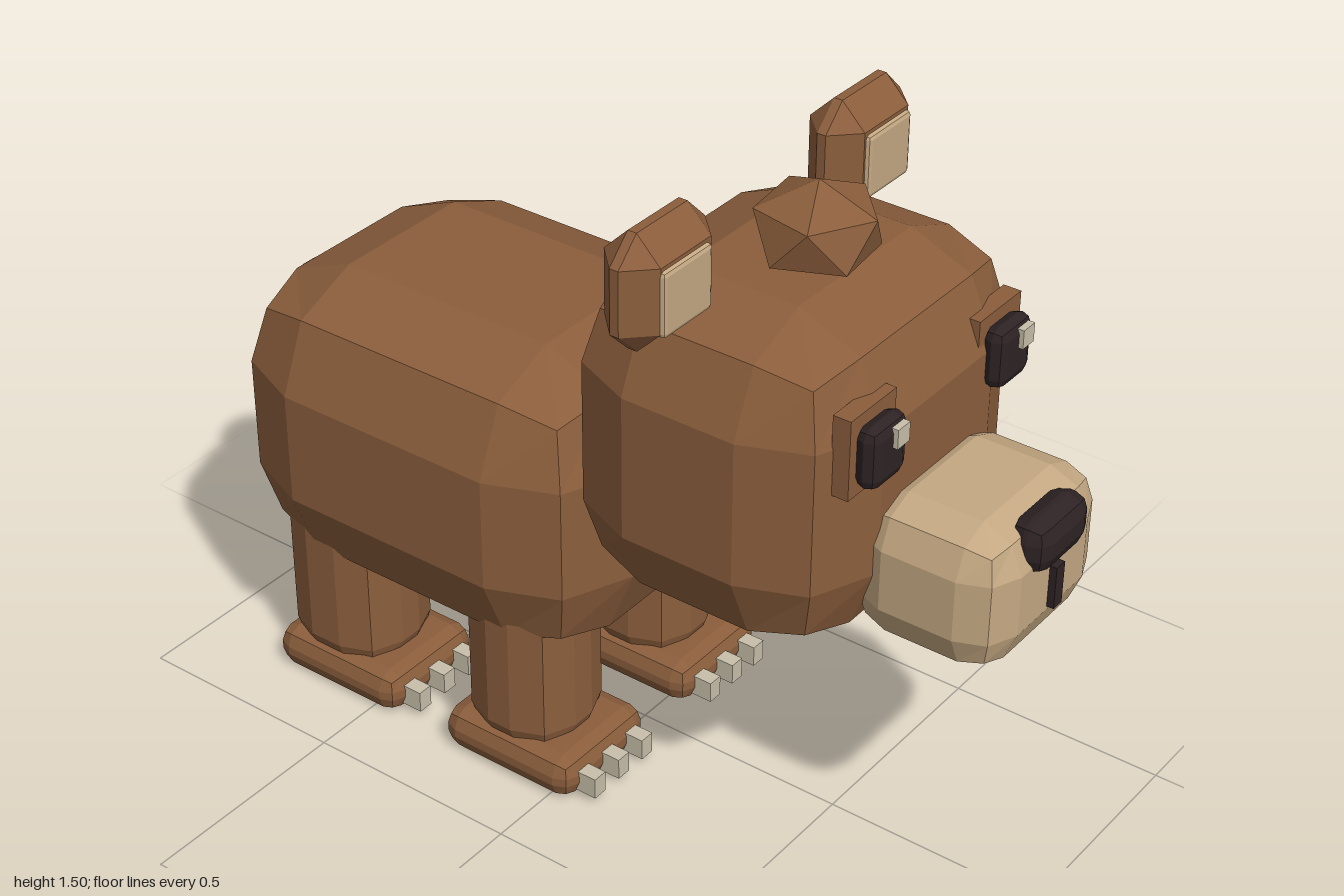
import * as THREE from 'three';
import { RoundedBoxGeometry } from 'three/addons/geometries/RoundedBoxGeometry.js';
import { ConvexGeometry } from 'three/addons/geometries/ConvexGeometry.js';

const makeMaterial = (name, color) => {
  const m = new THREE.MeshStandardMaterial({ color, flatShading: true });
  m.name = name;
  return m;
};

// Box with single-chamfer edges: the hull of its six shrunken faces
function chamferBox(w, h, d, r) {
  const points = [];
  const half = [w / 2, h / 2, d / 2];
  for (let axis = 0; axis < 3; axis++) {
    for (let i = 0; i < 8; i++) {
      const p = half.map((s, k) => (k === axis ? s : s - r) * ((i >> k) & 1 ? 1 : -1));
      points.push(new THREE.Vector3(...p));
    }
  }
  return new ConvexGeometry(points);
}

export function createModel() {
  const fur = makeMaterial('brown fur', 0x8b5e3c);
  const tan = makeMaterial('tan fur', 0xc4a882);
  const dark = makeMaterial('dark', 0x2d2224);
  const pale = makeMaterial('pale', 0xc8bfaa);

  const bear = new THREE.Group();
  bear.name = 'bear';

  const add = (name, geometry, material, x, y, z, parent = bear) => {
    const mesh = new THREE.Mesh(geometry, material);
    mesh.name = name;
    mesh.position.set(x, y, z);
    parent.add(mesh);
    return mesh;
  };
  const rounded = (w, h, d, r) => new RoundedBoxGeometry(w, h, d, 1, r);
  const box = (w, h, d) => new THREE.BoxGeometry(w, h, d);

  // Body and head
  add('body', rounded(0.78, 0.7, 0.97, 0.22), fur, 0, 0.65, -0.385);
  add('head', rounded(0.78, 0.72, 0.66, 0.2), fur, 0, 0.96, 0.37);

  // Muzzle, nose and mouth line
  add('muzzle', rounded(0.42, 0.315, 0.345, 0.09), tan, 0, 0.8025, 0.8);
  add('nose', rounded(0.19, 0.115, 0.09, 0.04), dark, 0, 0.905, 0.955);
  add('mouth', box(0.03, 0.095, 0.03), dark, 0, 0.79, 0.973);

  // Head tuft: flattened icosahedron standing on a vertex
  const tuft = new THREE.IcosahedronGeometry(0.14, 0);
  tuft.rotateZ(-Math.atan(2 / (1 + Math.sqrt(5))));
  tuft.rotateY(-Math.PI / 2 + 0.12);
  tuft.scale(1, 0.72, 1);
  add('headTuft', tuft, fur, 0, 1.375, 0.41);

  for (const [side, s] of [['left', 1], ['right', -1]]) {
    // Ears
    add(side + 'Ear', chamferBox(0.264, 0.25, 0.13, 0.055), fur, s * 0.33, 1.375, 0.28);
    add(side + 'InnerEar', rounded(0.15, 0.14, 0.03, 0.01), tan, s * 0.333, 1.367, 0.34);

    // Eyes, each on a plate set into the head; both glints sit toward +x
    add(side + 'EyePlate', box(0.15, 0.175, 0.04), fur, s * 0.22, 1.1075, 0.673);
    add(side + 'Eye', rounded(0.12, 0.135, 0.052, 0.025), dark, s * 0.22, 1.106, 0.712);
    add(side + 'EyeGlint', box(0.04, 0.042, 0.02), pale, s * 0.22 + 0.02, 1.139, 0.738);

    // Legs with feet and three claws each
    for (const [end, legZ, footZ, depth] of [['front', -0.137, -0.117, 0.26], ['rear', -0.635, -0.605, 0.28]]) {
      const leg = new THREE.Group();
      leg.name = side + end[0].toUpperCase() + end.slice(1) + 'Leg';
      bear.add(leg);
      add('leg', rounded(0.256, 0.49, depth, 0.1), fur, s * 0.207, 0.265, legZ, leg);
      add('foot', rounded(0.284, 0.1, 0.35, 0.04), fur, s * 0.207, 0.05, footZ, leg);
      for (const dx of [-0.082, 0, 0.082]) {
        add('claw', box(0.036, 0.05, 0.055), pale, s * 0.207 + dx, 0.043, footZ + 0.19, leg);
      }
    }
  }

  // Tail of two overlapping lumps
  add('tailBase', rounded(0.14, 0.13, 0.13, 0.05), fur, 0, 0.782, -0.89).rotation.x = 0.6;
  add('tailTip', rounded(0.12, 0.115, 0.115, 0.05), fur, 0, 0.712, -0.938).rotation.x = 0.6;

  return bear;
}
